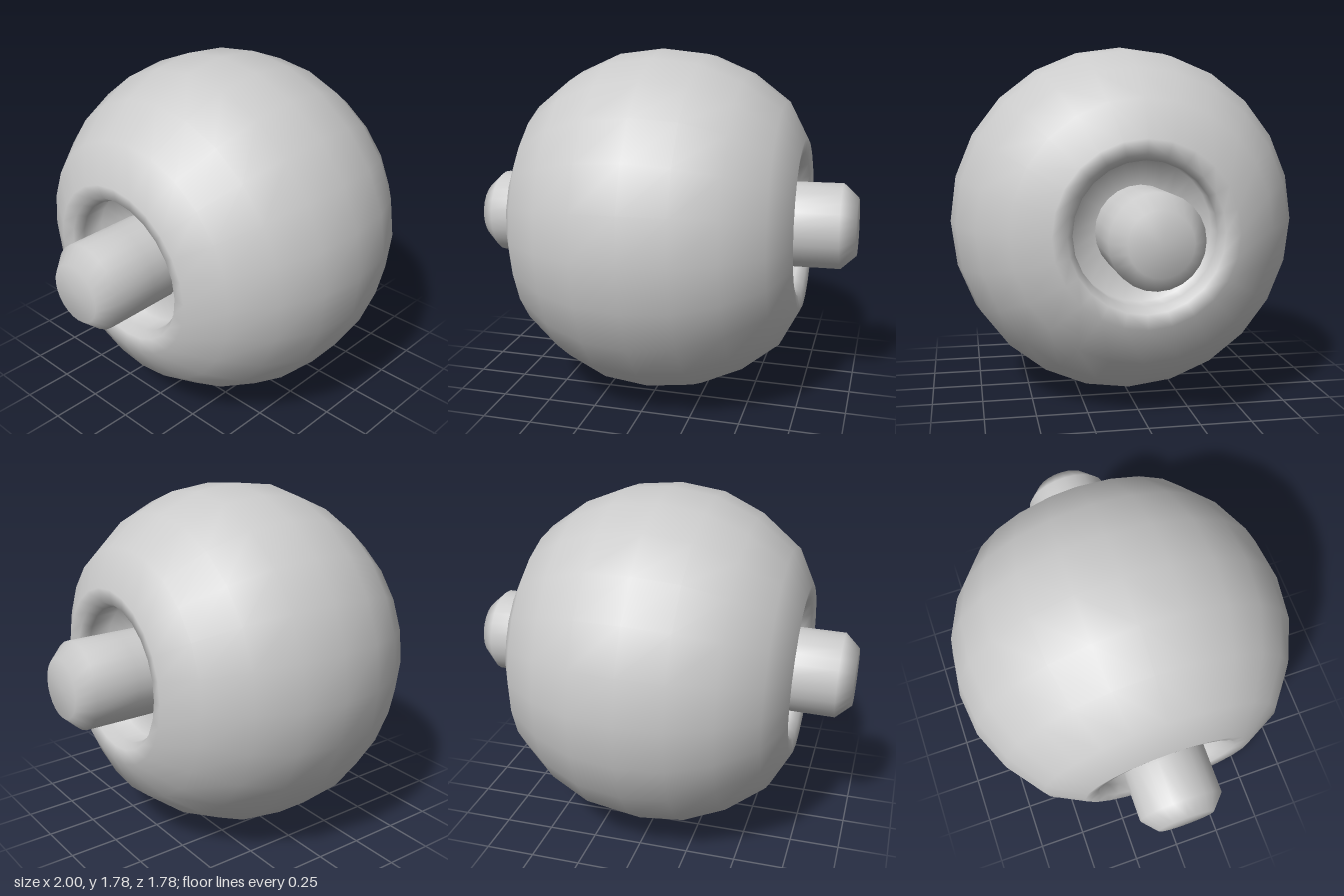
import * as THREE from 'three';

const SEGMENTS = 24;

// Full lathe profile from one half, given as [radius, axial] from the middle outwards
function symmetricLathe(half, name, material) {
  const upper = half.map(([r, h]) => new THREE.Vector2(r, h));
  const lower = half.filter(([, h]) => h > 0).map(([r, h]) => new THREE.Vector2(r, -h)).reverse();
  const mesh = new THREE.Mesh(new THREE.LatheGeometry([...lower, ...upper], SEGMENTS), material);
  mesh.name = name;
  return mesh;
}

export function createModel() {
  const material = new THREE.MeshStandardMaterial({ color: 0xcccccc });

  // Ball flattened at the ends, with a recess around the shaft at each side
  const ball = symmetricLathe([
    [0.888, 0], [0.861, 0.23], [0.77, 0.44], [0.626, 0.628], [0.44, 0.727],
    [0.37, 0.715], [0.34, 0.67], [0.34, 0.56], [0.2, 0.54],
  ], 'ball', material);

  // Shaft through the ball with chamfered tips
  const shaft = symmetricLathe([
    [0.218, 0], [0.218, 0.7], [0.218, 0.92], [0.147, 0.997], [0, 0.997],
  ], 'shaft', material);

  // Lay the axis along x with a slight tilt
  const axle = new THREE.Group();
  axle.name = 'axleAssembly';
  axle.add(ball, shaft);
  axle.rotation.z = -Math.PI / 2 + 0.022;
  axle.position.y = 0.889;

  const model = new THREE.Group();
  model.name = 'ballOnShaft';
  model.add(axle);
  return model;
}
